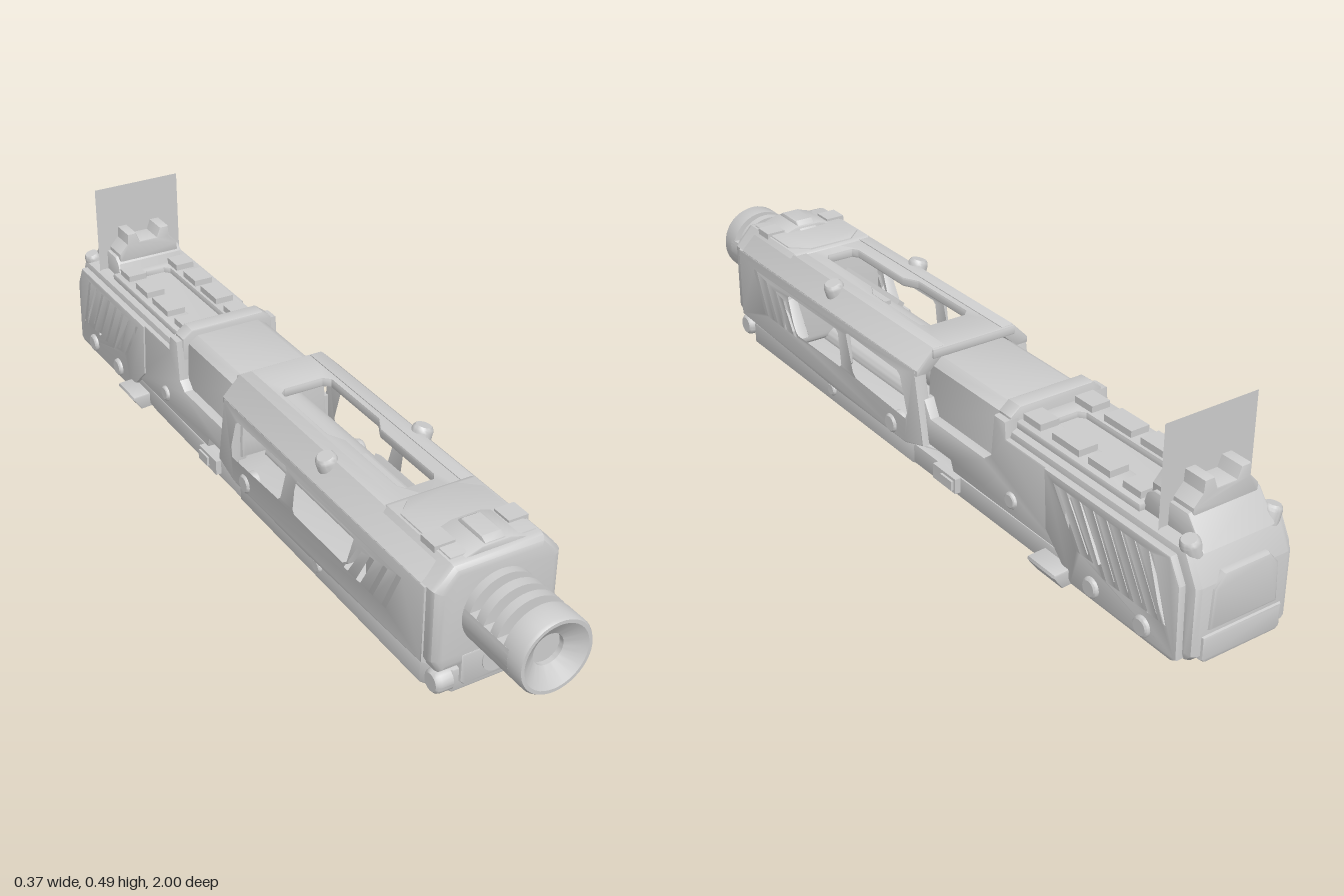
import * as THREE from 'three';
import { toCreasedNormals } from 'three/addons/utils/BufferGeometryUtils.js';

const grey = new THREE.MeshStandardMaterial({ color: 0xcccccc });
const greyDouble = new THREE.MeshStandardMaterial({ color: 0xcccccc, side: THREE.DoubleSide });

const vecs = (pts) => pts.map(([a, b]) => new THREE.Vector2(a, b));
const mirrorX = (half) => [...half, ...half.slice().reverse().map(([x, y]) => [-x, y])];

// Extruded outline whose bevels stay inside the given outline and depth
function extrude(shape, depth, bevel, segs = 2) {
  return new THREE.ExtrudeGeometry(shape, {
    depth: depth - 2 * bevel, bevelEnabled: bevel > 0, bevelSize: bevel, bevelThickness: bevel,
    bevelOffset: -bevel, bevelSegments: segs, curveSegments: 20,
  }).translate(0, 0, bevel);
}
function makeShape(pts, holes = []) {
  const s = new THREE.Shape(vecs(pts));
  holes.forEach((h) => s.holes.push(new THREE.Path(vecs(h))));
  return s;
}

export function createModel() {
  const model = new THREE.Group();
  const add = (name, geo, mat = grey) => {
    const m = new THREE.Mesh(toCreasedNormals(geo, 0.6), mat);
    m.name = name;
    model.add(m);
    return m;
  };
  const box = (name, w, h, d, x, y, z) => add(name, new THREE.BoxGeometry(w, h, d).translate(x, y, z));
  // Cross-section (x, y) running along z
  const prism = (name, pts, z0, z1, bevel = 0.005, segs = 2) =>
    add(name, extrude(makeShape(pts), z1 - z0, bevel, segs).translate(0, 0, z0));
  // Side outline (z, y) running along x
  const side = (name, pts, holes, x0, x1, bevel = 0.005) => {
    const flip = (l) => l.map(([z, y]) => [-z, y]);
    add(name, extrude(makeShape(flip(pts), holes.map(flip)), x1 - x0, bevel).rotateY(Math.PI / 2).translate(x0, 0, 0));
  };
  const sides = (name, pts, holes, x0, x1, bevel) => {
    side(name + 'Left', pts, holes, x0, x1, bevel);
    side(name + 'Right', pts, holes, -x1, -x0, bevel);
  };
  // Plan outline (x, z) running along y
  const plan = (name, pts, holes, y0, y1, bevel = 0.005) =>
    add(name, extrude(makeShape(pts, holes), y1 - y0, bevel).rotateX(Math.PI / 2).translate(0, y1, 0));
  const cylZ = (name, r, z0, z1, y, n = 32) =>
    add(name, new THREE.CylinderGeometry(r, r, z1 - z0, n).rotateX(Math.PI / 2).translate(0, y, (z0 + z1) / 2));
  const slot = (z, y0, y1, w, lean) => [[z, y1], [z - w, y1], [z - w - lean, y0], [z - lean, y0]];
  const domeProfile = (r, h) => vecs([[0, h], [r * 0.75, h], [r * 0.93, h * 0.75], [r, h * 0.4], [r, -0.02]]).reverse();

  // Muzzle compensator: solid core with its top cut away, carrying full discs between the ports
  const by = 0.195;
  const core = new THREE.Shape();
  core.absarc(0, 0, 0.09, Math.PI - 0.28, 2 * Math.PI + 0.28, false);
  add('compensatorCore', extrude(core, 0.19, 0).translate(0, by, 0.77));
  [[0.77, 0.83], [0.852, 0.876], [0.898, 0.92]].forEach(([a, b]) => cylZ('compensatorRing', 0.09, a, b, by, 40));
  const lip = vecs([[0, 0.942], [0.09, 0.942], [0.09, 0.993], [0.086, 1], [0.078, 1], [0.037, 0.972], [0.037, 0.945], [0, 0.945]]);
  add('muzzle', new THREE.LatheGeometry(lip, 40).rotateX(Math.PI / 2).translate(0, by, 0));

  // Barrel with lengthwise ribs, and the recoil rod below it
  cylZ('barrel', 0.062, -0.1, 0.8, by);
  for (let i = 0; i < 10; i++) {
    const a = (i / 10) * Math.PI * 2;
    const rib = box('barrelRib', 0.018, 0.016, 0.26, 0, 0.064, 0.42);
    rib.geometry.rotateZ(a).translate(0, by, 0);
  }
  cylZ('recoilRod', 0.034, -0.1, 0.815, 0.065);

  // Nose block and its lower tongue
  prism('nose', mirrorX([[0.11, 0.325], [0.155, 0.275], [0.155, 0.1], [0.135, 0.065]]), 0.54, 0.81, 0.022, 3);
  prism('noseTongue', mirrorX([[0.085, 0.1], [0.085, 0.03], [0.075, 0.02]]), 0.6, 0.812);

  // Front side panels with two windows and slanted grip cuts
  const windows = [
    [[0.52, 0.235], [0.505, 0.245], [0.275, 0.245], [0.262, 0.235], [0.25, 0.15], [0.26, 0.137], [0.47, 0.137], [0.49, 0.15]],
    [[0.235, 0.245], [0.225, 0.255], [0, 0.25], [-0.015, 0.24], [-0.045, 0.15], [-0.035, 0.127], [0.19, 0.137], [0.205, 0.15]],
  ];
  const frontCuts = [0.7, 0.65, 0.6, 0.55].map((z, i) => slot(z, 0.13, 0.25 - i * 0.01, 0.026, 0.055));
  sides('frontPanel', [[0.775, 0.275], [-0.07, 0.275], [-0.105, 0.09], [-0.03, 0.066], [0.3, 0.066], [0.775, 0.085]],
    [...windows, ...frontCuts], 0.127, 0.16);

  // Chamfered shoulders and slotted top plate
  const shoulder = [[0.158, 0.26], [0.158, 0.275], [0.112, 0.322], [0.08, 0.322], [0.08, 0.3], [0.125, 0.26]];
  prism('shoulderLeft', shoulder, -0.08, 0.76);
  prism('shoulderRight', shoulder.map(([x, y]) => [-x, y]).reverse(), -0.08, 0.76);
  plan('topPlate', mirrorX([[0.115, -0.085], [0.115, 0.77]]),
    [mirrorX([[0.05, 0.03], [0.066, 0.045], [0.066, 0.25], [0.045, 0.29], [0.045, 0.5], [0.035, 0.515]])], 0.295, 0.32);
  plan('topRaisedPad', mirrorX([[0.06, 0.56], [0.105, 0.6], [0.105, 0.78]]), [], 0.31, 0.329);

  // Front sight
  prism('frontSightBase', mirrorX([[0.035, 0.338], [0.075, 0.325], [0.08, 0.315]]), 0.68, 0.79, 0.003);
  side('frontSight', [[0.79, 0.325], [0.785, 0.34], [0.77, 0.348], [0.7, 0.348], [0.67, 0.325]], [], -0.026, 0.026);
  [-1, 1].forEach((s) => box('frontSightClamp', 0.05, 0.022, 0.05, s * 0.09, 0.324, 0.715));

  // Chamber block in the ejection opening, and the slide around it
  prism('chamberBlock', mirrorX([[0.085, 0.292], [0.11, 0.275], [0.118, 0.15], [0.118, 0.1]]), -0.37, -0.06, 0.008);
  sides('middlePanel', [[-0.07, 0.2], [-0.085, 0.2], [-0.11, 0.16], [-0.32, 0.16], [-0.345, 0.18], [-0.355, 0.285], [-0.395, 0.285],
    [-0.4, 0.245], [-0.61, 0.245], [-0.61, 0.065], [-0.2, 0.065], [-0.19, 0.09], [-0.07, 0.09]], [], 0.1, 0.142);
  prism('collar', mirrorX([[0.1, 0.31], [0.125, 0.29], [0.13, 0.2]]), -0.395, -0.35);

  // Rear body, grip-cut panels and back plate
  side('rearBody', [[-0.36, 0.1], [-0.59, 0.1], [-0.64, 0.012], [-0.975, 0.012], [-0.993, 0.03], [-0.993, 0.19], [-0.955, 0.262],
    [-0.36, 0.262]], [], -0.13, 0.13, 0.018);
  const rearCuts = Array.from({ length: 8 }, (_, i) => slot(-0.568 - i * 0.043, i < 2 ? 0.1 : 0.08, 0.23, 0.022, i < 7 ? 0.085 : 0.05));
  sides('rearPanel', [[-0.54, 0.245], [-0.935, 0.245], [-0.965, 0.19], [-0.97, 0.02], [-0.955, 0.012], [-0.64, 0.012], [-0.55, 0.1]],
    rearCuts, 0.115, 0.147);
  prism('backPlate', mirrorX([[0.06, 0.21], [0.085, 0.18], [0.09, 0.085]]), -1, -0.96, 0.008);
  prism('backPlateLower', mirrorX([[0.105, 0.075], [0.105, 0.02], [0.095, 0.012]]), -1, -0.96, 0.008);

  // Rear top cover with a long recess and raised teeth
  plan('topCover', mirrorX([[0.11, -0.8], [0.11, -0.39]]),
    [mirrorX([[0.025, -0.77], [0.038, -0.755], [0.038, -0.45], [0.025, -0.435]])], 0.25, 0.278);
  [[-0.46, -0.4], [-0.59, -0.5], [-0.69, -0.62], [-0.785, -0.73]].forEach(([a, b]) => [-1, 1].forEach((s) => {
    box('coverTooth', 0.05, 0.03, b - a, s * 0.07, 0.279, (a + b) / 2);
  }));

  // Rear sight with a notch, and the thin upright pane standing in it
  side('rearSightBase', [[-0.785, 0.25], [-0.8, 0.3], [-0.82, 0.315], [-0.92, 0.315], [-0.97, 0.25]], [], -0.095, 0.095);
  prism('rearSight', mirrorX([[0.025, 0.352], [0.035, 0.378], [0.06, 0.378], [0.062, 0.35], [0.085, 0.325], [0.085, 0.3]]), -0.925, -0.805, 0.004);
  add('sightPane', new THREE.PlaneGeometry(0.24, 0.24).translate(0, 0.375, -0.868), greyDouble);

  // Lower frame: floor, rails, cross bars
  plan('frameFloor', mirrorX([[0.1, -0.12], [0.14, -0.03], [0.14, 0.745], [0.1, 0.805]]), [], 0.005, 0.063, 0.004);
  sides('frameRail', [[0, 0.006], [0, 0.058], [-0.62, 0.062], [-0.62, 0.02], [-0.5, 0.008]], [], 0.1, 0.138);
  box('frameCrossBar', 0.22, 0.045, 0.05, 0, 0.03, -0.22);
  box('frameRearBar', 0.22, 0.04, 0.04, 0, 0.04, -0.57);

  [-1, 1].forEach((s) => {
    // Slide stop catch
    box('slideStop', 0.022, 0.038, 0.09, s * 0.141, 0.04, -0.18);
    box('slideStopPad', 0.02, 0.024, 0.045, s * 0.148, 0.04, -0.195);
    // Thumb lever flaring outward
    const lever = [[0.12, 0.006], [0.162, 0.003], [0.186, 0.036], [0.184, 0.043], [0.12, 0.046]];
    prism('thumbLever', s > 0 ? lever : lever.map(([x, y]) => [-x, y]).reverse(), -0.635, -0.54, 0.004);
    // Side screws: z, y, radius, surface x, height
    [[0.03, 0.092, 0.025, 0.15, 0.016], [0.335, 0.042, 0.017, 0.138, 0.01], [-0.425, 0.105, 0.02, 0.14, 0.01],
      [-0.71, 0.045, 0.024, 0.145, 0.012], [-0.87, 0.045, 0.024, 0.145, 0.012], [0.79, 0.04, 0.028, 0.125, 0.02]]
      .forEach(([z, y, r, x, h]) => add('sideScrew',
        new THREE.LatheGeometry(domeProfile(r, h), 20).rotateZ(-s * Math.PI / 2).translate(s * x, y, z)));
    // Top screws
    [[0.122, 0.312, 0.34, 0.025], [0.105, 0.26, -0.945, 0.022]].forEach(([x, y, z, r]) => add('topScrew',
      new THREE.LatheGeometry(domeProfile(r, 0.02), 20).rotateZ(-s * 0.3).translate(s * x, y, z)));
  });
  return model;
}
